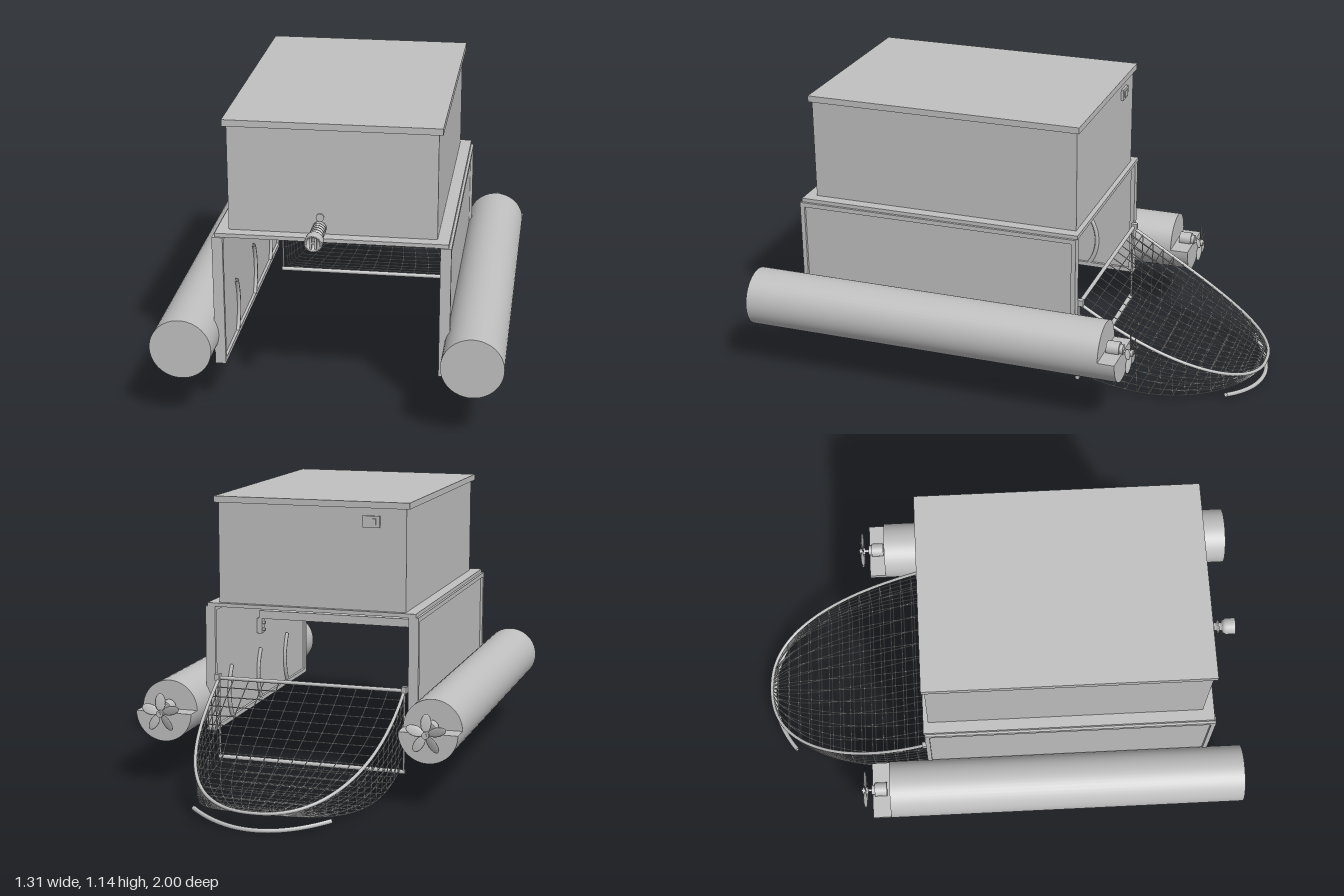
import * as THREE from 'three';

export function createModel() {
  const model = new THREE.Group();
  const grey = new THREE.MeshStandardMaterial({ color: 0xc0c0c0, side: THREE.DoubleSide });
  grey.name = 'plain grey';

  const add = (name, geo, x = 0, y = 0, z = 0, parent = model) => {
    const m = new THREE.Mesh(geo, grey);
    m.name = name;
    m.position.set(x, y, z);
    parent.add(m);
    return m;
  };
  // box given by its limits on each axis
  const box = (name, x0, x1, y0, y1, z0, z1, parent) =>
    add(name, new THREE.BoxGeometry(x1 - x0, y1 - y0, z1 - z0),
      (x0 + x1) / 2, (y0 + y1) / 2, (z0 + z1) / 2, parent);
  const rod = (name, r, len, x, y, z, axis, parent, r2 = r) => {
    const g = new THREE.CylinderGeometry(r, r2, len, 24);
    if (axis === 'x') g.rotateZ(Math.PI / 2);
    if (axis === 'z') g.rotateX(Math.PI / 2);
    return add(name, g, x, y, z, parent);
  };
  const tube = (name, pts, r, parent, sides = 4) =>
    add(name, new THREE.TubeGeometry(new THREE.CatmullRomCurve3(pts), pts.length * 2, r, sides), 0, 0, 0, parent);

  // housing, lid and deck
  box('deck', -0.43, 0.43, 0.698, 0.713, -0.32, 0.835);
  box('housing', -0.385, 0.385, 0.713, 1.118, -0.3, 0.79);
  box('lid', -0.4, 0.4, 1.115, 1.14, -0.312, 0.8);
  box('latch', -0.28, -0.21, 1.04, 1.085, -0.31, -0.3);
  box('latchButton', -0.265, -0.225, 1.05, 1.075, -0.314, -0.31);

  // crossbar with its hanging motor box and deck screws
  box('crossbar', -0.4, 0.4, 0.555, 0.59, 0.2, 0.235);
  box('hangingBox', -0.05, 0.06, 0.57, 0.698, 0.235, 0.33);
  box('hangingBoxBottom', -0.04, 0.05, 0.555, 0.57, 0.235, 0.33);
  for (const x of [-0.066, -0.055, 0.07, 0.082]) rod('deckScrew', 0.004, 0.03, x, 0.685, 0.28, 'y');

  // framed side walls with brackets and curved mounting slots
  for (const s of [-1, 1]) {
    const wall = new THREE.Group();
    wall.name = 'sideWall';
    wall.scale.x = s;
    model.add(wall);
    box('wallPanel', 0.411, 0.429, 0.19, 0.695, -0.31, 0.83, wall);
    box('wallTopRail', 0.4, 0.44, 0.68, 0.698, -0.315, 0.84, wall);
    box('wallBottomRail', 0.4, 0.44, 0.187, 0.205, -0.315, 0.84, wall);
    box('wallBackPost', 0.4, 0.44, 0.205, 0.68, -0.315, -0.297, wall);
    box('wallFrontPost', 0.4, 0.44, 0.205, 0.68, 0.822, 0.84, wall);
    box('bracket', 0.388, 0.412, 0.49, 0.556, 0.2, 0.235, wall);
    for (const y of [0.505, 0.535]) rod('bracketBolt', 0.007, 0.012, 0.384, y, 0.217, 'x', wall);
    for (const z of [-0.13, 0.22, 0.57]) {
      const arc = 1.2;
      const g = new THREE.TorusGeometry(0.19, 0.009, 6, 14, arc);
      g.rotateZ(-arc / 2).rotateY(Math.PI / 2);
      add('slotArc', g, 0.406, 0.31, z + 0.17, wall);
    }
  }

  // pontoons with stepped sterns, motors and propellers
  const pontoon = (x, front, step, back) => {
    const g = new THREE.Group();
    g.name = 'pontoon';
    g.position.set(x, 0.305, 0);
    model.add(g);
    const hull = new THREE.CylinderGeometry(0.116, 0.116, front - step, 48);
    add('hull', hull.rotateX(Math.PI / 2), 0, 0, (front + step) / 2, g);
    const half = new THREE.Shape();
    half.absarc(0, 0, 0.116, Math.PI, 2 * Math.PI);
    half.closePath();
    add('sternStep', new THREE.ExtrudeGeometry(half,
      { depth: step - back, bevelEnabled: false, curveSegments: 24 }), 0, 0, back, g);
    rod('motor', 0.028, 0.05, 0, 0.012, back + 0.035, 'z', g);
    rod('motorNose', 0.02, 0.015, 0, 0.012, back + 0.004, 'z', g);
    rod('shaft', 0.006, 0.05, 0, 0.005, back - 0.02, 'z', g);
    const prop = new THREE.Group();
    prop.name = 'propeller';
    prop.position.set(0, 0.003, back - 0.03);
    g.add(prop);
    rod('hub', 0.014, 0.024, 0, 0, 0, 'z', prop);
    for (let i = 0; i < 5; i++) {
      const blade = new THREE.SphereGeometry(1, 12, 8);
      blade.scale(0.021, 0.036, 0.003).rotateY(0.35).translate(0, 0.045, 0).rotateZ(i * Math.PI * 0.4);
      add('blade', blade, 0, 0, 0, prop);
    }
  };
  pontoon(-0.54, 0.98, -0.475, -0.55);
  pontoon(0.535, 1.0, -0.47, -0.537);

  // ribbed inlet on the front
  const profile = [[0, 0], [0.026, 0], [0.026, 0.012]];
  for (let i = 0; i < 5; i++) {
    const z = 0.014 + i * 0.02;
    profile.push([0.016, z], [0.016, z + 0.008], [0.027, z + 0.01], [0.027, z + 0.016]);
  }
  profile.push([0.033, 0.118], [0.033, 0.155], [0.024, 0.155], [0.024, 0.14], [0, 0.14]);
  const inlet = new THREE.LatheGeometry(profile.map(p => new THREE.Vector2(...p)), 24);
  add('inlet', inlet.rotateX(Math.PI / 2), -0.047, 0.737, 0.79);
  for (const x of [-0.056, -0.038]) box('inletBar', x - 0.003, x + 0.003, 0.715, 0.759, 0.93, 0.944);
  box('inletCrossbar', -0.056, -0.038, 0.734, 0.74, 0.93, 0.944);
  rod('frontKnob', 0.015, 0.008, -0.045, 0.778, 0.793, 'z');

  // wire basket: t runs from the mouth to the rear tip
  const basket = new THREE.Group();
  basket.name = 'basket';
  model.add(basket);
  const width = t => 0.385 * Math.pow(Math.max(0, 1 - Math.pow(t, 2.3)), 1 / 2.3);
  const topY = t => 0.408 - 0.42 * t + 0.09 * t * t;
  const floorY = t => 0.078 - 0.21 * t * (1 - t);
  const zAt = t => -0.315 - 0.678 * t;
  const cover = (u, t) => new THREE.Vector3(u * width(t), topY(t), zAt(t));
  // s from -1 to 1 is the floor, beyond that the side walls
  const bag = (s, t) => {
    const a = Math.abs(s), k = Math.max(0, a - 1), w = width(t), h = topY(t) - floorY(t);
    const x = a <= 1 ? 0.96 * a * w : w * (0.96 + 0.04 * Math.sqrt(k));
    const y = floorY(t) + h * (0.04 * Math.min(a, 1) ** 6 + 0.96 * k);
    return new THREE.Vector3(Math.sign(s) * x, y, zAt(t));
  };
  const line = (n, f) => Array.from({ length: n + 1 }, (_, i) => f(i / n));
  const ease = v => Math.sin(v * Math.PI / 2);
  const wire = 0.0022;
  for (let i = -5; i <= 5; i++) {
    tube('coverWire', line(16, v => cover(i / 6, ease(v))), wire, basket);
    tube('floorWire', line(16, v => bag(i / 6, ease(v))), wire, basket);
  }
  for (const s of [-1, 1]) for (let i = 0; i < 7; i++)
    tube('sideWire', line(16, v => bag(s * (1 + i / 7), ease(v))), wire, basket);
  for (let i = 1; i < 15; i++) {
    const t = i / 14.6;
    tube('coverCrossWire', [cover(-1, t), cover(1, t)], wire, basket);
    tube('hoopWire', line(24, v => bag(4 * v - 2, t)), wire, basket);
  }
  // rim, mouth bars and rear bumper
  const rimPoint = v => {
    const a = 2 * v - 1;
    return cover(Math.sign(a) || 1, ease(1 - Math.abs(a)));
  };
  tube('rim', line(40, rimPoint), 0.007, basket, 8);
  rod('mouthTopBar', 0.008, 0.78, 0, 0.408, -0.318, 'x', basket);
  rod('mouthBottomBar', 0.009, 0.78, 0, 0.08, -0.312, 'x', basket);
  for (const s of [-1, 1]) {
    rod('mouthPost', 0.004, 0.33, s * 0.385, 0.243, -0.315, 'y', basket);
    box('rimLug', s * 0.388 - 0.01, s * 0.388 + 0.01, 0.4, 0.425, -0.335, -0.31, basket);
  }
  tube('rearBumper', line(20, v => {
    const x = (2 * v - 1) * 0.27, q = (x / 0.27) ** 2;
    return new THREE.Vector3(x, 0.012 + 0.03 * q, -0.988 + 0.1 * q);
  }), 0.009, basket, 8);

  return model;
}
